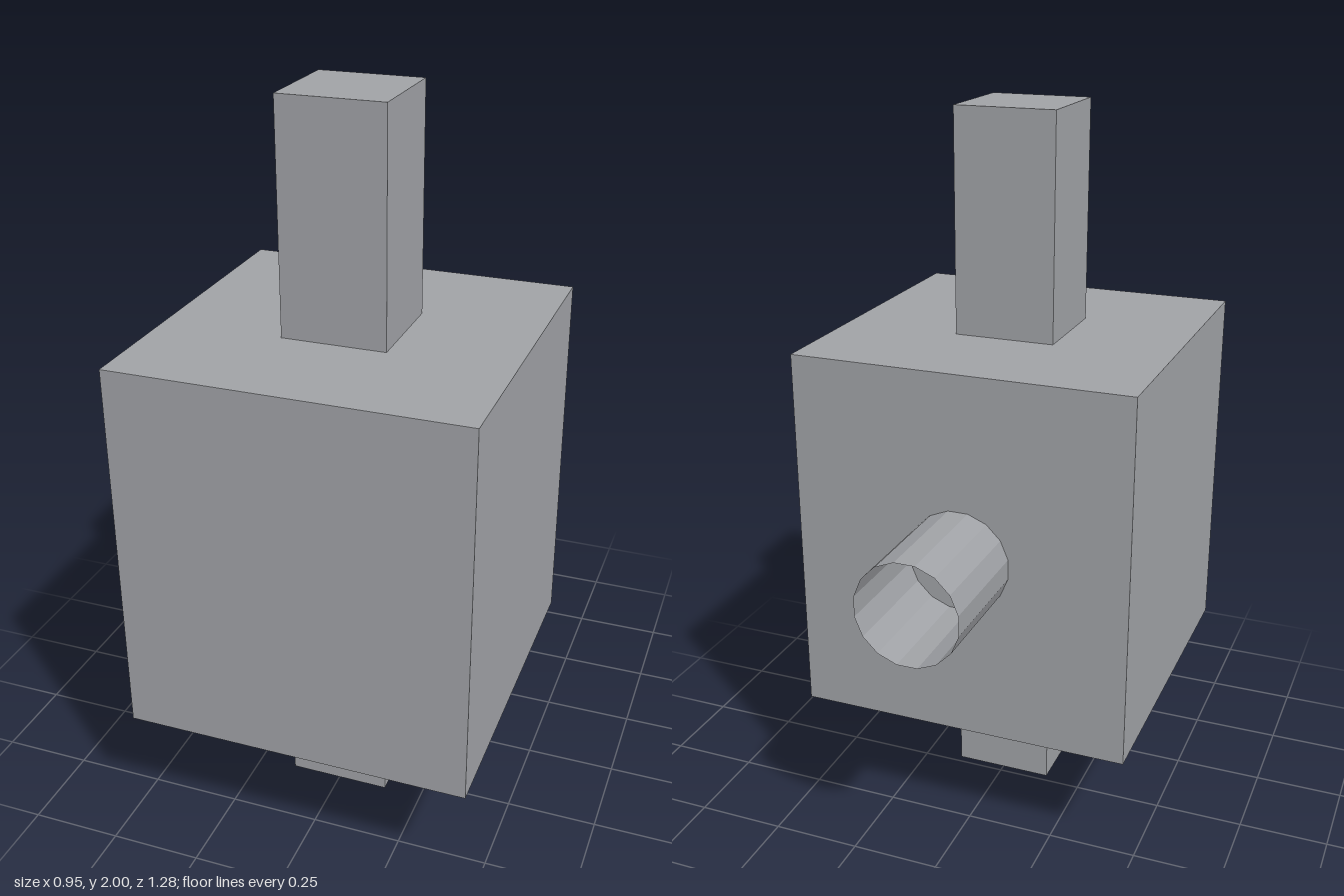
import * as THREE from 'three';

export function createModel() {
  const model = new THREE.Group();
  model.name = 'shaftBlock';

  const grey = new THREE.MeshStandardMaterial({ color: 0xa0a2a6, flatShading: true, side: THREE.DoubleSide });
  grey.name = 'grey';

  const centreZ = 0.165;
  const add = (name, geometry, x, y, z) => {
    const mesh = new THREE.Mesh(geometry, grey);
    mesh.name = name;
    mesh.position.set(x, y, z);
    model.add(mesh);
    return mesh;
  };
  const box = (name, width, y0, y1) =>
    add(name, new THREE.BoxGeometry(width, y1 - y0, width), 0, (y0 + y1) / 2, centreZ);

  // Main block, with square posts above and below
  box('body', 0.95, 0.336, 1.382);
  box('upperPost', 0.284, 1.382, 2);
  box('lowerPost', 0.284, 0, 0.336);

  // Open 16-sided pipe on the back, turned so that flats face up and sideways
  const length = 0.333;
  const pipe = new THREE.CylinderGeometry(0.1445, 0.1445, length, 16, 1, true);
  pipe.rotateY(Math.PI / 16);
  pipe.rotateX(Math.PI / 2);
  add('backPipe', pipe, 0, 0.86, -0.643 + length / 2);

  return model;
}
